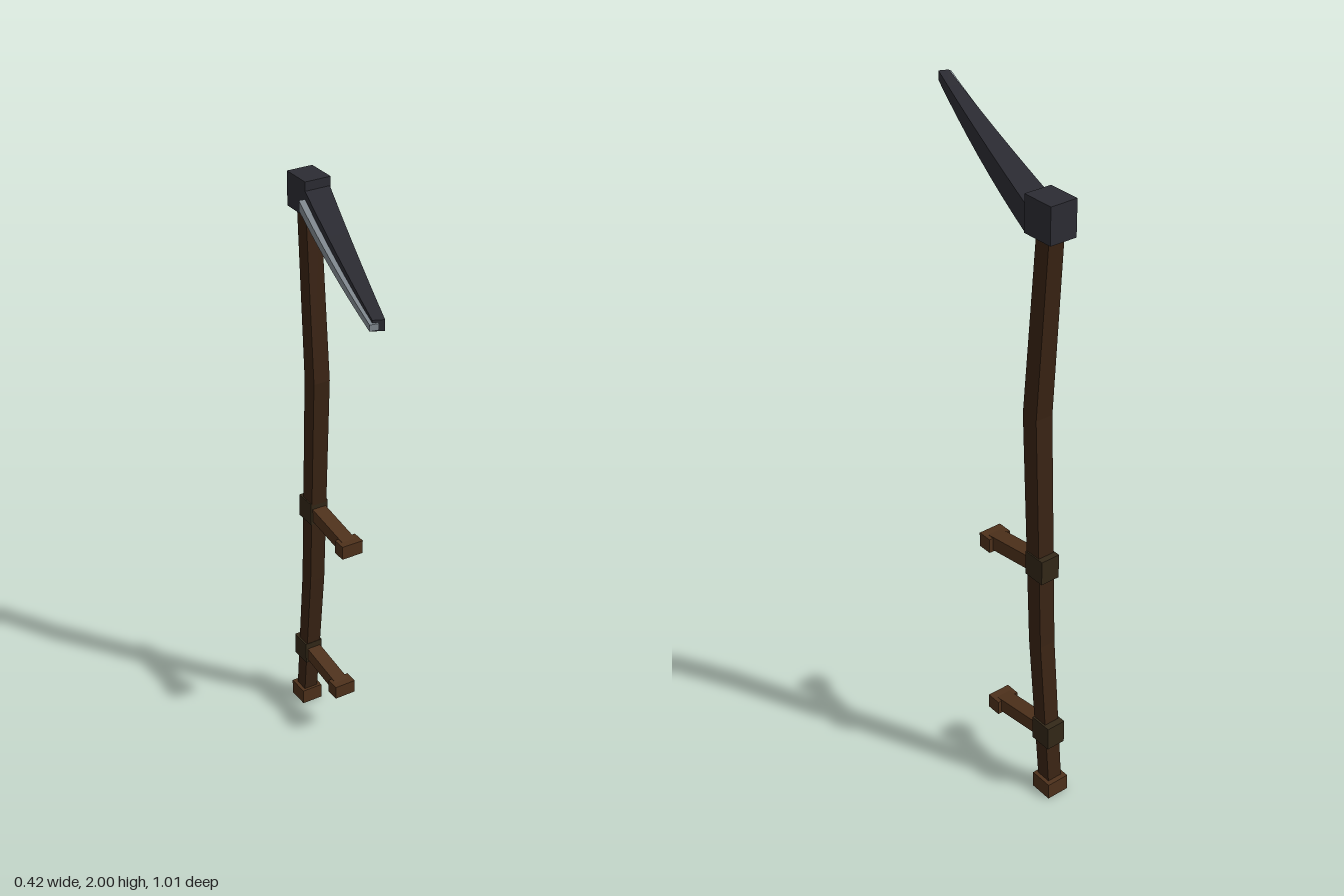
import * as THREE from 'three';

const X = 0.165; // the shaft's plane
const mat = (color) => new THREE.MeshStandardMaterial({ color, flatShading: true });
const shaftWood = mat(0x3a2414), gripWood = mat(0x4e311b), collarWood = mat(0x332818);
const iron = mat(0x2c2c33), steel = mat(0x838b92);

// Closed solid through rings of four corners, counter-clockwise seen from the far end
function loft(rings) {
  const pos = [];
  const quad = (a, b, c, d) => [a, b, c, a, c, d].forEach((p) => pos.push(...p));
  for (let i = 0; i < rings.length - 1; i++) {
    for (let j = 0; j < 4; j++) {
      const k = (j + 1) % 4;
      quad(rings[i][j], rings[i][k], rings[i + 1][k], rings[i + 1][j]);
    }
  }
  const [a, b, c, d] = rings[0];
  quad(d, c, b, a);
  quad(...rings[rings.length - 1]);
  const geo = new THREE.BufferGeometry();
  geo.setAttribute('position', new THREE.Float32BufferAttribute(pos, 3));
  geo.computeVertexNormals();
  return geo;
}

export function createModel() {
  const group = new THREE.Group();
  const add = (name, geo, material, x = 0, y = 0, z = 0, parent = group) => {
    const mesh = new THREE.Mesh(geo, material);
    mesh.name = name;
    mesh.position.set(x, y, z);
    parent.add(mesh);
    return mesh;
  };
  const box = (name, w, h, d, material, y, z, parent) =>
    add(name, new THREE.BoxGeometry(w, h, d), material, X, y, z, parent);

  // Bent square shaft: height, depth position, half width
  const bends = [[0.02, -0.468, 0.025], [0.555, -0.416, 0.027], [1.33, -0.382, 0.029], [1.93, -0.426, 0.026]];
  add('shaft', loft(bends.map(([y, z, r]) => [
    [X + r, y, z + r], [X + r, y, z - r], [X - r, y, z - r], [X - r, y, z + r],
  ])), shaftWood);
  box('buttCap', 0.075, 0.055, 0.076, gripWood, 0.0275, -0.468);

  // Two grips: collar on the shaft, drooping arm, square end knob
  for (const [name, y, z] of [['lowerGrip', 0.23, -0.454], ['upperGrip', 0.834, -0.412]]) {
    const grip = new THREE.Group();
    grip.name = name;
    group.add(grip);
    box('gripCollar', 0.064, 0.08, 0.075, collarWood, y, z, grip);
    box('gripArm', 0.05, 0.046, 0.22, gripWood, y - 0.016, z + 0.115, grip).rotation.x = 0.14;
    box('gripKnob', 0.077, 0.048, 0.048, gripWood, y - 0.032, z + 0.223, grip);
  }

  // Iron head block
  box('headBlock', 0.088, 0.11, 0.106, iron, 1.945, -0.423);

  // Tapered blade sweeping forward and to the right, curving up to the tip
  const lerp = THREE.MathUtils.lerp;
  const bladeRings = [], edgeRings = [];
  for (let i = 0; i <= 8; i++) {
    const t = i / 8;
    const bottom = 1.89 + 0.073 * t * t, top = 1.971 + 0.023 * t * t;
    const xr = lerp(0.207, -0.165, t), zr = lerp(-0.372, 0.503, t);
    const xl = lerp(0.121, -0.195, t), zl = lerp(-0.372, 0.49, t);
    bladeRings.push([[xr, bottom, zr], [xr, top, zr], [xl, top, zl], [xl, bottom, zl]]);

    // Thin bright cutting edge along the inner side
    const mid = (bottom + top) / 2, h = lerp(0.016, 0.009, t);
    const xo = lerp(0.1, -0.208, t), zo = lerp(-0.372, 0.498, t);
    const xi = xl + 0.012, zi = lerp(-0.368, 0.503, t);
    edgeRings.push([[xi, mid - h, zi], [xi, mid + h, zi], [xo, mid + h, zo], [xo, mid - h, zo]]);
  }
  add('blade', loft(bladeRings), iron);
  add('cuttingEdge', loft(edgeRings), steel);

  return group;
}
